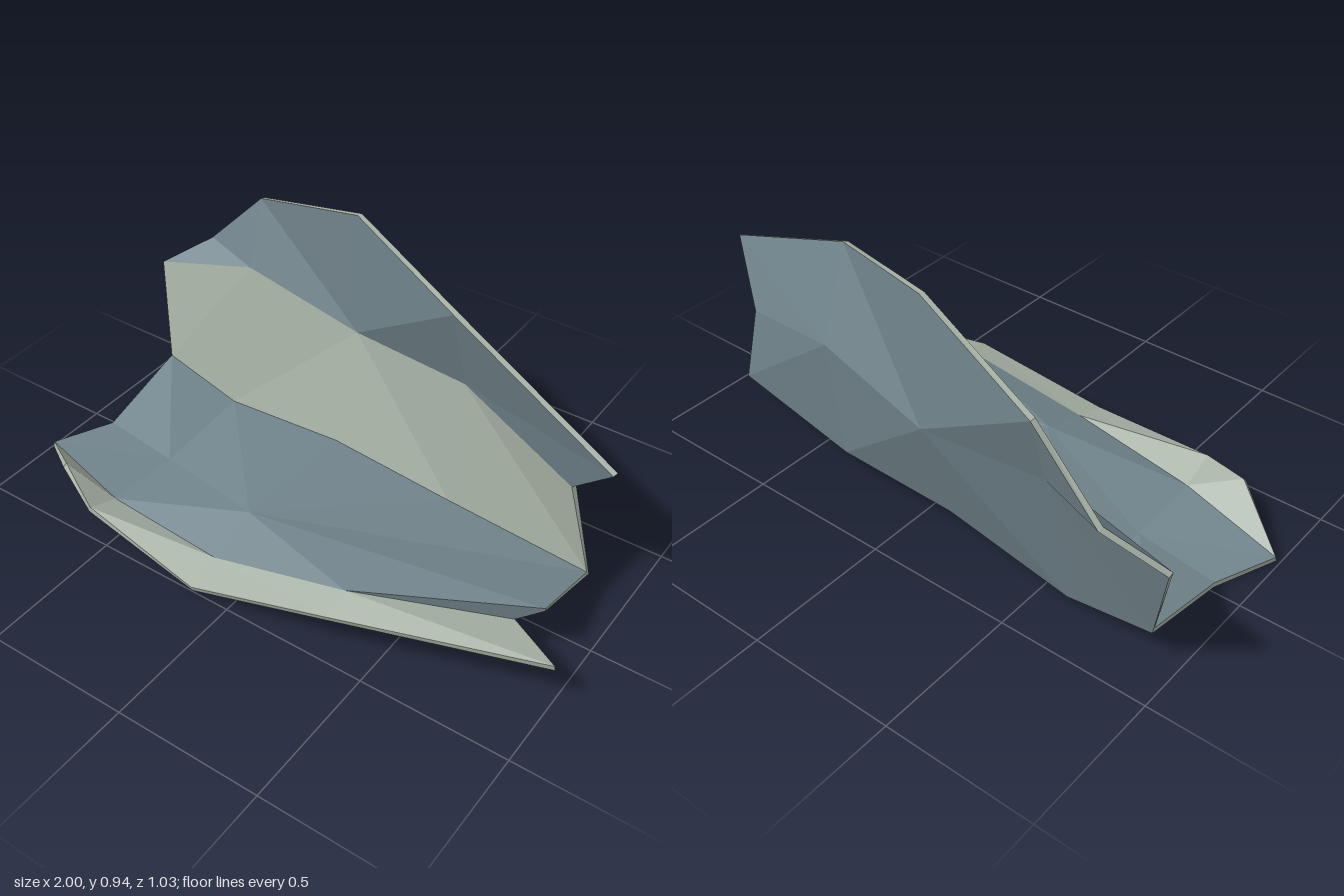
import * as THREE from 'three';

const THICKNESS = 0.018;

// Corner points of the folded sheet, one line per crease, running right (-x) to left (+x)
const P = {
  // top edge
  T0: [-0.83, 0.55, -0.515], T1: [-0.6, 0.79, -0.51], T2: [-0.13, 0.935, -0.4], T3: [0.34, 0.845, -0.215], T4: [0.95, 0.6, -0.1],
  // crease between upper panel and wall
  W0: [-1, 0.43, -0.43], W1: [-0.6, 0.55, -0.435], W2: [-0.13, 0.48, -0.41], W3: [0.34, 0.525, -0.32], W4: [0.79, 0.41, -0.2],
  // crease between wall and base
  B0: [-0.91, 0.1, -0.335], B1: [-0.6, 0.035, -0.312], B2: [-0.13, 0.09, -0.285], B3: [0.34, 0.075, -0.26], B4: [0.88, 0.105, -0.19],
  // inside of the base
  M1: [-0.9, 0.008, 0.02], M2: [-0.6, 0.008, 0.06], H: [-0.13, 0.115, 0.21],
  // front edge of the base
  F0: [-0.99, 0.015, 0.23], F1: [-0.6, 0.025, 0.34], F2: [-0.13, 0.055, 0.39], F3: [0.34, 0.152, 0.35], F4: [0.88, 0.187, 0.1], FP: [0.8, 0.125, 0.13],
  // outer edge of the lip
  L0: [-0.78, 0.122, 0.38], L1: [-0.6, 0.075, 0.46], L2: [-0.13, 0.022, 0.51], L3: [0.34, 0.122, 0.45], L4: [0.995, 0.145, 0.25],
};

// Triangles of each panel; "up" is the side its front face looks to
const panels = [
  { name: 'upperPanel', color: 'blue', up: [0, 0, 1],
    tris: 'W0 T0 W1,T0 T1 W1,W2 W1 T1,W2 T1 T2,W2 T2 T3,W2 T3 W3,W3 T3 T4,W3 T4 W4' },
  { name: 'wall', color: 'light', up: [0, 0, 1],
    tris: 'W0 W1 B0,W1 B1 B0,W2 W1 B1,W2 B1 B2,W2 B2 B3,W2 B3 W3,W3 B3 B4,W3 B4 W4' },
  { name: 'base', color: 'blue', up: [0, 1, 0],
    tris: 'M2 B0 B1,M2 B1 H,M2 H F1,M2 F1 F0,M2 F0 M1,M2 M1 B0,H B1 B2,H B2 B3,H B3 B4,H B4 F4,H F4 F3,H F3 F2,H F2 F1' },
  { name: 'frontFold', color: 'blue', up: [0, 0, 1], tris: 'F3 FP F4' },
  { name: 'lip', color: 'light', up: [0, 1, 0],
    tris: 'F0 L0 F1,F1 L0 L1,F1 L1 F2,F2 L1 L2,F2 L2 L3,F2 L3 F3,F3 L3 L4,F3 L4 FP' },
];

function triNormal([a, b, c]) {
  const [A, B, C] = [a, b, c].map((k) => new THREE.Vector3(...P[k]));
  return B.sub(A).cross(C.sub(A)).normalize();
}

function meshFrom(points, material, name) {
  const geometry = new THREE.BufferGeometry().setFromPoints(points);
  geometry.computeVertexNormals();
  const mesh = new THREE.Mesh(geometry, material);
  mesh.name = name;
  return mesh;
}

export function createModel() {
  const group = new THREE.Group();
  group.name = 'foldedShell';
  const materials = {
    blue: new THREE.MeshStandardMaterial({ color: 0x72858d, flatShading: true, side: THREE.DoubleSide }),
    light: new THREE.MeshStandardMaterial({ color: 0xa6b0a4, flatShading: true, side: THREE.DoubleSide }),
  };
  materials.blue.name = 'slateBlue';
  materials.light.name = 'paleSage';

  // Turn every triangle to its panel's front and average the normals at the corners
  const normals = {};
  for (const k in P) normals[k] = new THREE.Vector3();
  const oriented = panels.map(({ tris, up }) => tris.split(',').map((t) => {
    const tri = t.split(' ');
    if (triNormal(tri).dot(new THREE.Vector3(...up)) < 0) tri.reverse();
    const n = triNormal(tri);
    tri.forEach((k) => normals[k].add(n));
    return tri;
  }));
  for (const k in P) normals[k].normalize();
  const point = (k, side) => new THREE.Vector3(...P[k]).addScaledVector(normals[k], side * THICKNESS / 2);

  // Front and back skin of each panel
  panels.forEach(({ name, color }, i) => {
    const front = oriented[i].flatMap((t) => t.map((k) => point(k, 1)));
    const back = oriented[i].flatMap(([a, b, c]) => [a, c, b].map((k) => point(k, -1)));
    group.add(meshFrom(front, materials[color], name + 'Front'));
    group.add(meshFrom(back, materials.blue, name + 'Back'));
  });

  // Pale rim along every edge that belongs to one triangle only
  const edges = oriented.flat().flatMap(([a, b, c]) => [[a, b], [b, c], [c, a]]);
  const rim = edges
    .filter(([a, b]) => edges.filter(([c, d]) => (a === c && b === d) || (a === d && b === c)).length === 1)
    .flatMap(([a, b]) => [point(a, 1), point(a, -1), point(b, -1), point(a, 1), point(b, -1), point(b, 1)]);
  group.add(meshFrom(rim, materials.light, 'rim'));
  return group;
}
